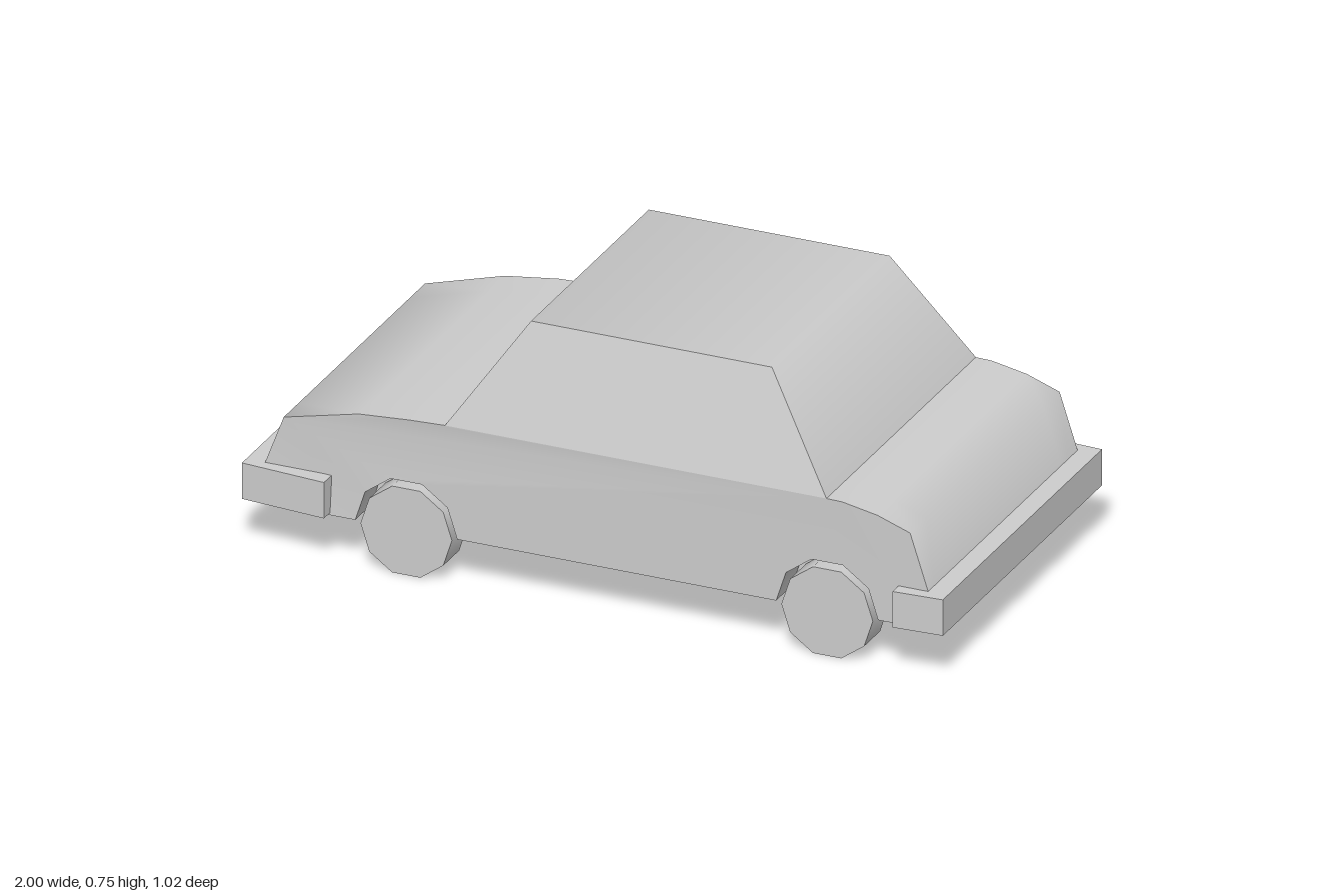
import * as THREE from 'three';
import { mergeGeometries, toCreasedNormals } from 'three/addons/utils/BufferGeometryUtils.js';

const material = new THREE.MeshStandardMaterial({ color: 0xcccccc });
const CREASE = 1.05;
const FLOOR = 0.13, HALF = 0.472, INNER = 0.371;
const AXLES = [-0.54, 0.657];

// Upper outline of the lower body, from nose to tail
const outline = [
  [-0.985, FLOOR], [-0.9, 0.372], [-0.68, 0.43], [-0.53, 0.446], [-0.43, 0.45],
  [0.655, 0.45], [0.7, 0.449], [0.8, 0.43], [0.893, 0.397], [0.98, FLOOR],
];

function addMesh(parent, name, geometry) {
  const mesh = new THREE.Mesh(geometry, material);
  mesh.name = name;
  parent.add(mesh);
  return mesh;
}

// Extruded slice of the body, with or without wheel arches
function bodySlice(z0, z1, arches) {
  const points = outline.map(([x, y]) => new THREE.Vector2(x, y));
  if (arches) {
    for (const axle of [...AXLES].reverse()) {
      for (let i = 0; i <= 5; i++) {
        const a = (i * Math.PI) / 5;
        points.push(new THREE.Vector2(axle + 0.145 * Math.cos(a), FLOOR + 0.145 * Math.sin(a)));
      }
    }
  }
  const geometry = new THREE.ExtrudeGeometry(new THREE.Shape(points), {
    depth: z1 - z0, bevelEnabled: false,
  });
  return geometry.translate(0, 0, z0);
}

// Box whose corners are moved by a rule
function shapedBox(w, h, d, x, y, rule) {
  const geometry = new THREE.BoxGeometry(w, h, d).translate(x, y, 0);
  const p = geometry.attributes.position;
  for (let i = 0; i < p.count; i++) {
    p.setXYZ(i, ...rule(p.getX(i), p.getY(i), p.getZ(i)));
  }
  return toCreasedNormals(geometry, CREASE);
}

export function createModel() {
  const car = new THREE.Group();
  car.name = 'car';

  // Lower body: solid centre and two arched sides, bonnet narrowing to the nose
  const body = mergeGeometries([
    bodySlice(-HALF, -INNER, true),
    bodySlice(-INNER, INNER, false),
    bodySlice(INNER, HALF, true),
  ]);
  const p = body.attributes.position;
  for (let i = 0; i < p.count; i++) {
    const t = THREE.MathUtils.clamp((-0.53 - p.getX(i)) / 0.37, 0, 1);
    if (p.getY(i) > 0.3) p.setZ(i, p.getZ(i) * (1 - 0.055 * t));
  }
  addMesh(car, 'body', toCreasedNormals(body, CREASE));

  // Cabin: sloped windows and sides up to a smaller roof
  addMesh(car, 'cabin', shapedBox(1.085, 0.295, 2 * HALF, 0.1125, 0.5975, (x, y, z) =>
    y > 0.6 ? [x < 0 ? -0.23 : 0.455, y, Math.sign(z) * 0.372] : [x, y, z]));

  // Bumpers wrap round the ends and narrow towards the tips
  const narrow = (tip) => (x, y, z) => [x, y, Math.sign(z) * (Math.abs(x) > 0.95 ? tip : 0.51)];
  addMesh(car, 'frontBumper', shapedBox(0.243, 0.103, 1, -0.8785, 0.188, narrow(0.488)));
  addMesh(car, 'rearBumper', shapedBox(0.14, 0.103, 1, 0.93, 0.188, narrow(0.503)));

  // Ten-sided wheels resting on a flat
  const R = 0.13;
  const tyre = new THREE.CylinderGeometry(R, R, HALF - INNER, 10)
    .rotateY(Math.PI / 2).rotateX(Math.PI / 2);
  const wheelGeometry = toCreasedNormals(tyre, CREASE);
  AXLES.forEach((x, i) => {
    for (const side of [-1, 1]) {
      const name = (i ? 'rear' : 'front') + 'Wheel' + (side > 0 ? 'Near' : 'Far');
      addMesh(car, name, wheelGeometry)
        .position.set(x, R * Math.cos(Math.PI / 10), (side * (HALF + INNER)) / 2);
    }
  });

  return car;
}
